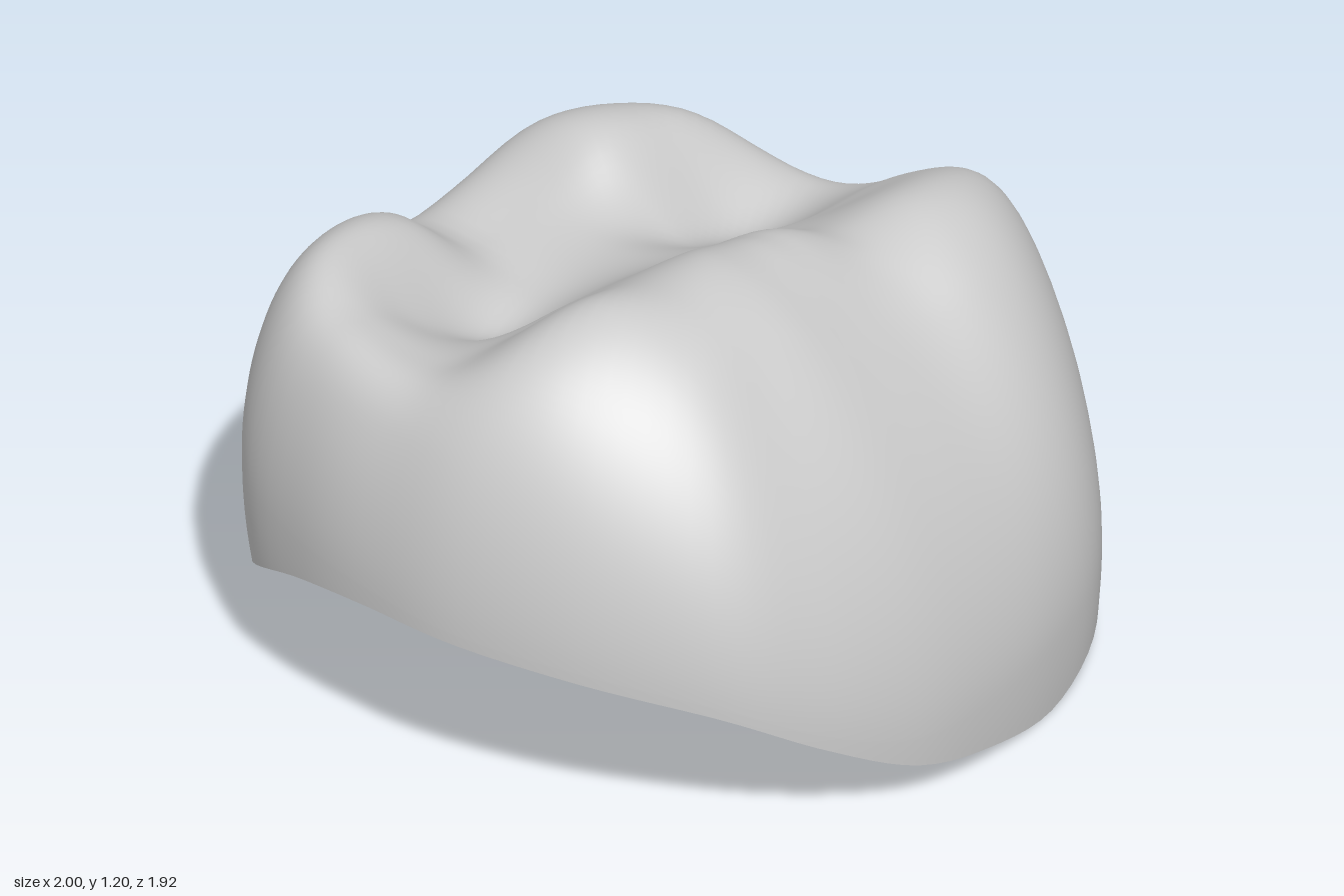
import * as THREE from 'three';

// Outline of the crown, going round from +x through +z:
// [x, z, height of the open rim, height of the widest point, squareness of the shoulder]
const OUTLINE = [
  [0.998, 0, 0.22, 0.42, 6.3], [0.94, 0.24, 0.18, 0.38, 5.6], [0.8, 0.54, 0.11, 0.3, 3.5],
  [0.62, 0.75, 0.06, 0.24, 2.4], [0.38, 0.865, 0, 0.2, 1.9], [0.1, 0.93, 0.04, 0.18, 1.78],
  [-0.15, 0.95, 0.11, 0.19, 1.78], [-0.4, 0.91, 0.24, 0.28, 1.95], [-0.63, 0.8, 0.37, 0.4, 2.4],
  [-0.84, 0.55, 0.44, 0.47, 3.3], [-0.97, 0.25, 0.47, 0.5, 4.6], [-0.998, -0.03, 0.465, 0.52, 5],
  [-0.97, -0.29, 0.41, 0.53, 4.8], [-0.88, -0.56, 0.29, 0.54, 4.7], [-0.67, -0.76, 0.16, 0.55, 5.2],
  [-0.4, -0.88, 0.03, 0.55, 6.3], [-0.07, -0.94, 0.04, 0.55, 7], [0.25, -0.965, 0.03, 0.55, 7.5],
  [0.48, -0.935, 0.07, 0.53, 6.5], [0.69, -0.81, 0.13, 0.5, 6], [0.81, -0.62, 0.18, 0.48, 5.5],
  [0.9, -0.42, 0.22, 0.46, 5.5], [0.965, -0.2, 0.22, 0.44, 6],
];

// Heights of cusps and pits: columns x = -0.9 to 0.9 (step 0.2), rows z = -0.9 to 0.5 (step 0.28)
const RELIEF = [
  [1.1, 1.1, 1.08, 1.0, 0.87, 0.88, 0.96, 0.98, 0.96, 0.94],
  [1.28, 1.23, 1.11, 0.98, 0.81, 0.84, 0.95, 0.95, 0.95, 0.92],
  [1.24, 1.07, 0.89, 0.77, 0.79, 0.84, 0.78, 0.73, 0.78, 0.88],
  [1.16, 1.04, 0.99, 0.99, 0.98, 0.95, 0.92, 0.9, 0.93, 0.98],
  [1.24, 1.24, 1.235, 1.19, 1.195, 1.165, 1.07, 1.1, 1.13, 1.18],
  [1.28, 1.29, 1.29, 1.27, 1.27, 1.2, 1.15, 1.19, 1.23, 1.24],
];

// Smooth curve through evenly spaced values, held level past the ends
function spline(values, t) {
  const last = values.length - 1;
  const u = THREE.MathUtils.clamp(t, 0, last);
  const i = Math.min(Math.floor(u), last - 1);
  const f = u - i;
  const [a, b, c, d] = [-1, 0, 1, 2].map((k) => values[THREE.MathUtils.clamp(i + k, 0, last)]);
  return b + 0.5 * f * (c - a + f * (2 * a - 5 * b + 4 * c - d + f * (3 * (b - c) + d - a)));
}

function relief(x, z) {
  return spline(RELIEF.map((row) => spline(row, (x + 0.9) / 0.2)), (z + 0.9) / 0.28);
}

function crownGeometry(segments, capRings, wallRings) {
  const edge = new THREE.CatmullRomCurve3(
    OUTLINE.map(([x, z, rim]) => new THREE.Vector3(x, rim, z)), true, 'catmullrom');
  const shape = new THREE.CatmullRomCurve3(
    OUTLINE.map(([, , , widest, square]) => new THREE.Vector3(widest, square, 0)), true, 'catmullrom');
  const sides = [];
  for (let i = 0; i < segments; i++) {
    const e = edge.getPoint(i / segments);
    const s = shape.getPoint(i / segments);
    sides.push({ x: e.x, z: e.z, rim: e.y, widest: s.x, square: s.y });
  }

  const positions = [0, relief(0, 0), 0];
  // Chewing surface, rounding over into the shoulder
  for (let j = 1; j <= capRings; j++) {
    const q = Math.sin((j / capRings) * Math.PI / 2);
    for (const s of sides) {
      const x = s.x * q, z = s.z * q;
      const fall = Math.pow(Math.max(0, 1 - Math.pow(q, s.square)), 0.53);
      positions.push(x, s.widest + (relief(x, z) - s.widest) * fall, z);
    }
  }
  // Wall below the widest point, tucking in towards the open rim
  for (let j = 1; j <= wallRings; j++) {
    for (const s of sides) {
      const drop = (s.widest - s.rim) * j / wallRings;
      const tuck = 1 - 0.28 * drop * drop;
      positions.push(s.x * tuck, s.widest - drop, s.z * tuck);
    }
  }

  const index = [];
  for (let i = 0; i < segments; i++) {
    const n = (i + 1) % segments;
    index.push(0, 1 + n, 1 + i);
    for (let j = 0; j < capRings + wallRings - 1; j++) {
      const a = 1 + j * segments, b = a + segments;
      index.push(a + i, a + n, b + i, a + n, b + n, b + i);
    }
  }
  const geometry = new THREE.BufferGeometry();
  geometry.setAttribute('position', new THREE.Float32BufferAttribute(positions, 3));
  geometry.setIndex(index);
  geometry.computeVertexNormals();
  return geometry;
}

export function createModel() {
  const group = new THREE.Group();
  group.name = 'molarCrown';
  const material = new THREE.MeshStandardMaterial({ color: 0xcccccc, side: THREE.DoubleSide });
  const shell = new THREE.Mesh(crownGeometry(120, 48, 8), material);
  shell.name = 'crownShell';
  group.add(shell);
  return group;
}
